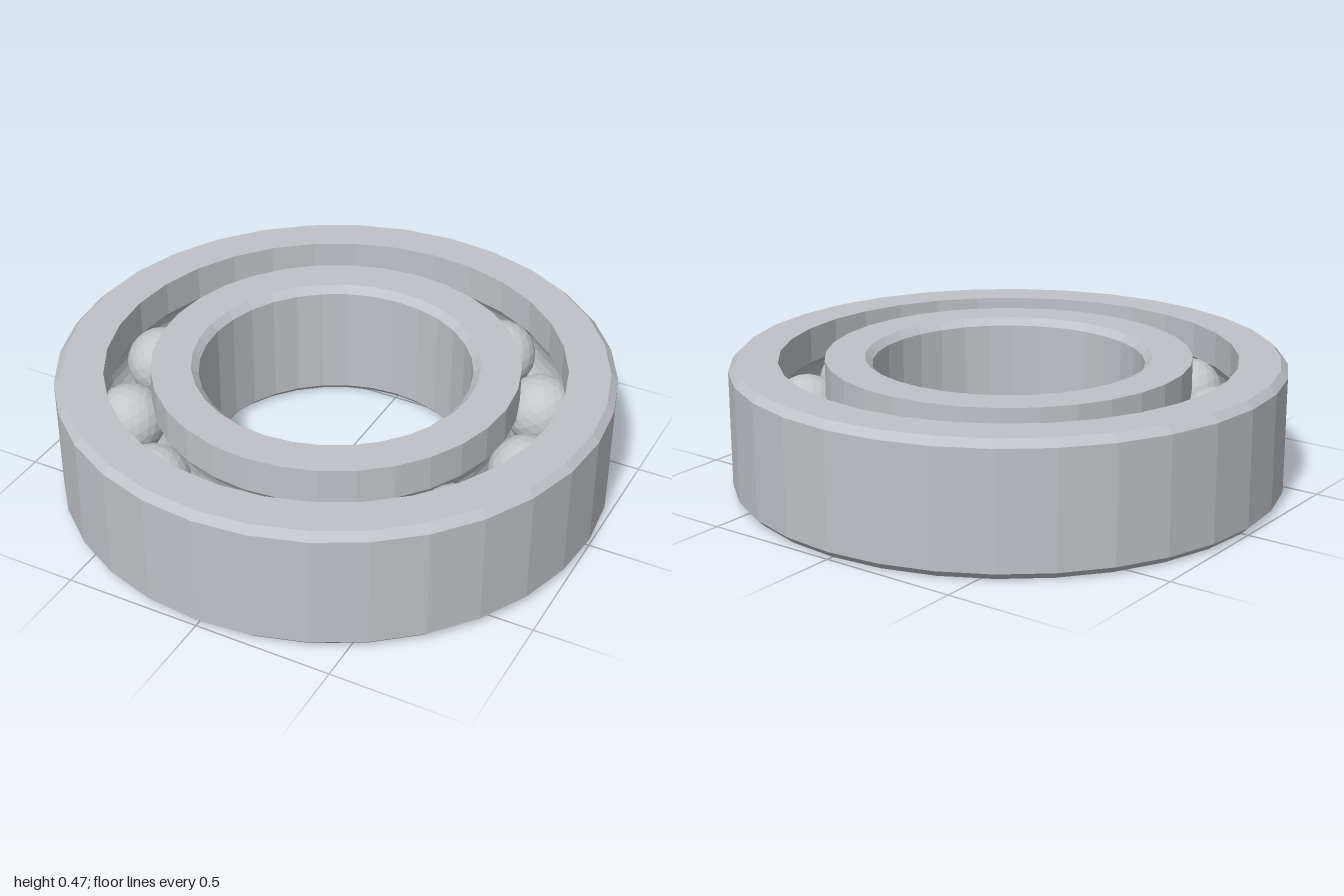
import * as THREE from 'three';

const HEIGHT = 0.47, MID = HEIGHT / 2, PITCH = 0.743, BALL = 0.13;
const SEGMENTS = 32, BALLS = 12, BEVEL = 0.026;

// Arc of the ball groove where it cuts a wall of radius r, from the lower to the upper lip
function groove(r, steps = 8) {
  const side = Math.sign(r - PITCH);
  const half = Math.acos(Math.abs(r - PITCH) / (BALL + 0.002));
  const points = [];
  for (let i = 0; i <= steps; i++) {
    const a = -half + (2 * half * i) / steps;
    points.push([PITCH + side * (BALL + 0.002) * Math.cos(a), MID + (BALL + 0.002) * Math.sin(a)]);
  }
  return points;
}

// Revolves a closed profile of [radius, y] points
function ring(name, profile, material) {
  const points = [...profile, profile[0]].map(([r, y]) => new THREE.Vector2(r, y));
  const mesh = new THREE.Mesh(new THREE.LatheGeometry(points, SEGMENTS), material);
  mesh.name = name;
  return mesh;
}

export function createModel() {
  const model = new THREE.Group();
  model.name = 'ballBearing';

  const steel = new THREE.MeshStandardMaterial({ color: 0xbfc2c7 });
  steel.name = 'ring steel';
  steel.flatShading = true;
  const polished = new THREE.MeshStandardMaterial({ color: 0xc4c6c8 });
  polished.name = 'ball steel';
  polished.flatShading = true;

  // Outer ring: bevelled outside, ball groove inside
  const outerWall = 0.825;
  model.add(ring('outerRing', [
    [outerWall, 0], [1 - BEVEL, 0], [1, BEVEL], [1, HEIGHT - BEVEL], [1 - BEVEL, HEIGHT],
    [outerWall, HEIGHT], ...groove(outerWall).reverse(),
  ], steel));

  // Inner ring: ball groove outside, bevelled bore
  const innerWall = 0.66, bore = 0.49;
  model.add(ring('innerRing', [
    [bore + BEVEL, 0], [innerWall, 0], ...groove(innerWall), [innerWall, HEIGHT],
    [bore + BEVEL, HEIGHT], [bore, HEIGHT - BEVEL], [bore, BEVEL],
  ], steel));

  // Balls evenly spaced between the rings
  const balls = new THREE.Group();
  balls.name = 'balls';
  const ballGeometry = new THREE.IcosahedronGeometry(BALL, 3);
  for (let i = 0; i < BALLS; i++) {
    const a = (i / BALLS) * Math.PI * 2;
    const ball = new THREE.Mesh(ballGeometry, polished);
    ball.name = 'ball';
    ball.position.set(Math.cos(a) * PITCH, MID, Math.sin(a) * PITCH);
    balls.add(ball);
  }
  model.add(balls);
  return model;
}
